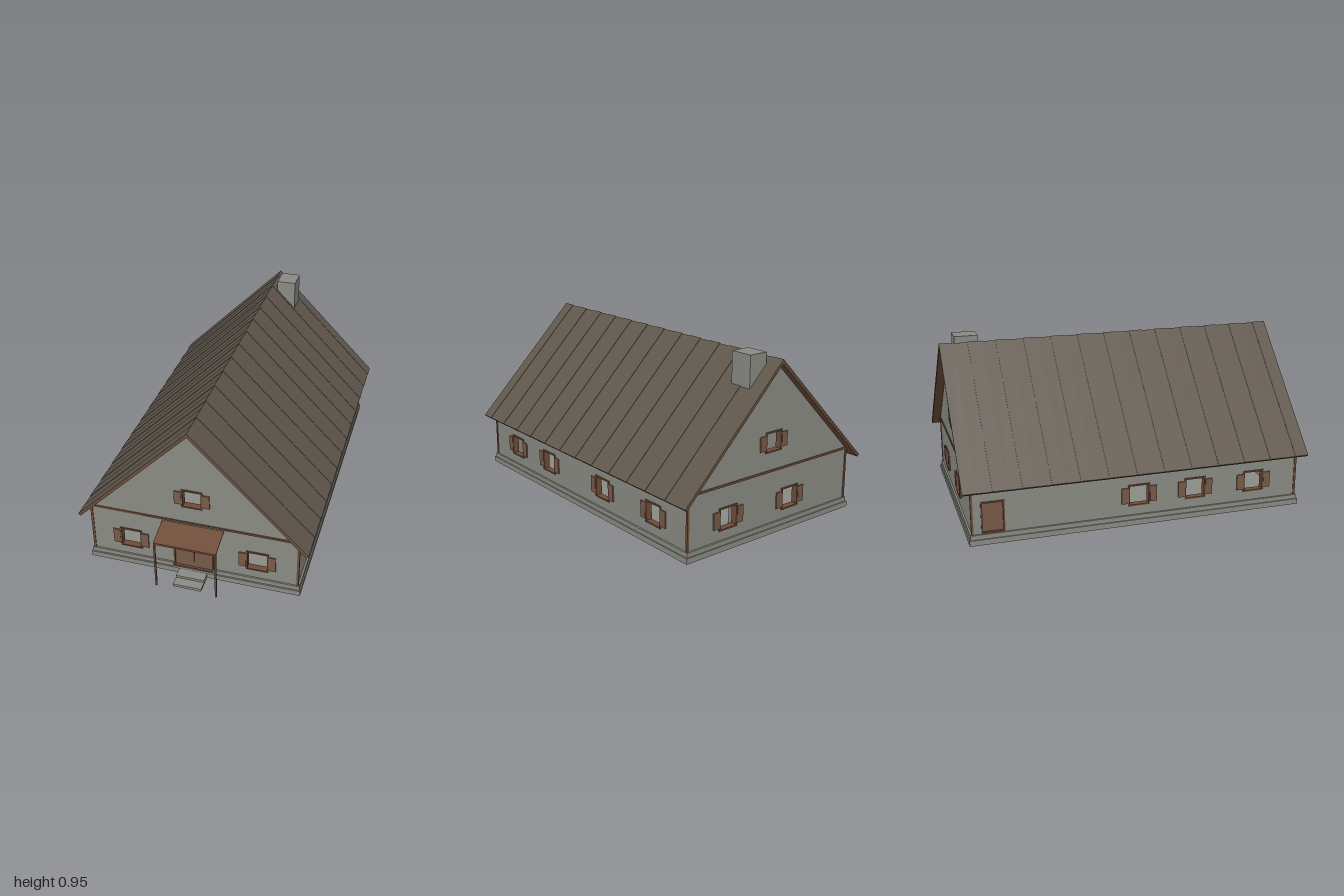
import * as THREE from 'three';

const mat = (name, color, side = THREE.FrontSide) => {
  const m = new THREE.MeshStandardMaterial({ color, side });
  m.name = name;
  return m;
};

export function createModel() {
  const house = new THREE.Group();
  house.name = 'house';
  const stone = mat('grey stone', 0x8a8b83);
  const wood = mat('brown wood', 0x785a47);
  const trim = mat('dark trim wood', 0x6f4d39);
  const roofing = mat('roof boards', 0x60574c);

  const add = (parent, name, geo, material) => {
    const m = new THREE.Mesh(geo, material);
    m.name = name;
    parent.add(m);
    return m;
  };
  // Box given by its minimum and maximum corners
  const box = (parent, name, material, x0, x1, y0, y1, z0, z1) => {
    const m = add(parent, name, new THREE.BoxGeometry(x1 - x0, y1 - y0, z1 - z0), material);
    m.position.set((x0 + x1) / 2, (y0 + y1) / 2, (z0 + z1) / 2);
    return m;
  };
  const polygon = (pts) => new THREE.Shape(pts.map(([x, y]) => new THREE.Vector2(x, y)));
  const extrude = (shape, z0, z1) =>
    new THREE.ExtrudeGeometry(shape, { depth: z1 - z0, bevelEnabled: false }).translate(0, 0, z0);

  const FRONT = 0.855, BACK = -0.952, HALF = 0.56, T = 0.03;
  const MID = (FRONT + BACK) / 2, LEN = FRONT - BACK;

  // Four thin bars around an opening
  const frame = (g, name, [x0, x1, y0, y1]) => {
    const w = 0.008, f = 0.005;
    box(g, name, trim, x0 - w / 2, x0 + w / 2, y0, y1, -T, f);
    box(g, name, trim, x1 - w / 2, x1 + w / 2, y0, y1, -T, f);
    box(g, name, trim, x0 - w / 2, x1 + w / 2, y1 - w / 2, y1 + w / 2, -T, f + 0.001);
    box(g, name, trim, x0 - w / 2, x1 + w / 2, y0 - w / 2, y0 + w / 2, -T, f + 0.001);
  };

  // Wall facing local +z, with windows (rectangles), shutters and doors
  const wall = (name, outline, windows, doors) => {
    const g = new THREE.Group();
    g.name = name;
    house.add(g);
    const shape = polygon(outline);
    for (const [x0, x1, y0, y1] of [...windows, ...doors]) {
      shape.holes.push(polygon([[x0, y0], [x0, y1], [x1, y1], [x1, y0]]));
    }
    add(g, name + 'Panel', extrude(shape, -T, 0), stone);
    for (const r of windows) {
      frame(g, 'windowFrame', r);
      const [x0, x1, y0, y1] = r;
      box(g, 'shutter', wood, x0 - 0.042, x0 - 0.004, y0 + 0.012, y1 - 0.012, 0, 0.007);
      box(g, 'shutter', wood, x1 + 0.004, x1 + 0.042, y0 + 0.012, y1 - 0.012, 0, 0.007);
    }
    for (const r of doors) {
      frame(g, 'doorFrame', r);
      const [x0, x1, y0, y1] = r;
      const n = x1 - x0 > 0.15 ? 2 : 1, w = (x1 - x0) / n;
      for (let i = 0; i < n; i++) {
        box(g, 'doorLeaf', wood, x0 + i * w + 0.001, x0 + (i + 1) * w - 0.001, y0, y1, -0.015, -0.007);
      }
    }
    return g;
  };
  const ground = (x) => [x - 0.056, x + 0.056, 0.11, 0.222];
  const attic = [-0.052, 0.052, 0.444, 0.546];
  const gable = [[-HALF, 0.03], [HALF, 0.03], [HALF, 0.337], [0, 0.903], [-HALF, 0.337]];
  const sideHalf = LEN / 2 - T;
  const side = [[-sideHalf, 0.03], [sideHalf, 0.03], [sideHalf, 0.337], [-sideHalf, 0.337]];

  const frontWall = wall('frontWall', gable, [ground(-0.344), ground(0.344), attic],
    [[-0.106, 0.106, 0.034, 0.258]]);
  frontWall.position.z = FRONT;
  const backWall = wall('backWall', gable, [ground(-0.3), ground(0.13), attic], []);
  backWall.position.z = BACK;
  backWall.rotation.y = Math.PI;
  const rightWall = wall('sideWall', side,
    [0.6, 0.257, -0.263, -0.694].map((z) => ground(MID - z)), []);
  rightWall.position.set(HALF, 0, MID);
  rightWall.rotation.y = Math.PI / 2;
  const leftWall = wall('doorSideWall', side,
    [0.6, 0.257, -0.06].map((z) => ground(z - MID)),
    [[-0.9 - MID, -0.785 - MID, 0.06, 0.225]]);
  leftWall.position.set(-HALF, 0, MID);
  leftWall.rotation.y = -Math.PI / 2;

  // Stepped plinth, its upper course open at the front door
  box(house, 'plinthBase', stone, -0.576, 0.576, 0, 0.03, -0.968, 0.872);
  for (const s of [-1, 1]) {
    const a = s * 0.555, b = s * 0.57;
    box(house, 'plinthSide', stone, Math.min(a, b), Math.max(a, b), 0.03, 0.055, -0.962, 0.864);
    const c = s * 0.111, d = s * 0.555;
    box(house, 'plinthFront', stone, Math.min(c, d), Math.max(c, d), 0.03, 0.055, 0.85, 0.864);
  }
  box(house, 'plinthBack', stone, -0.555, 0.555, 0.03, 0.055, -0.962, -0.947);

  // Corner posts and gable bands
  for (const z of [FRONT, BACK]) {
    for (const s of [-1, 1]) {
      const x = s * (HALF - 0.002);
      const zc = z - Math.sign(z) * 0.002;
      box(house, 'cornerPost', trim, x - 0.006, x + 0.006, 0.055, 0.337, zc - 0.006, zc + 0.006);
    }
    box(house, 'gableBand', trim, -0.565, 0.565, 0.334, 0.345, z - 0.005, z + 0.005);
  }

  // Roof: a wooden chevron under a row of boards
  const chevron = (top, bottom) => {
    const k = 1.011, e = 0.615;
    const eave = (y) => {
      const x = e - (0.922 - y) * 0.5;
      return [x, y - k * x];
    };
    const [tx, ty] = eave(top), [bx, by] = eave(bottom);
    return polygon([[0, top], [-tx, ty], [-bx, by], [0, bottom], [bx, by], [tx, ty]]);
  };
  add(house, 'roofDeck', extrude(chevron(0.918, 0.902), -0.999, 0.9), trim);
  const boards = 25, step = 1.9 / boards;
  for (let i = 0; i < boards; i++) {
    const z = -1 + i * step;
    add(house, 'roofBoard', extrude(chevron(i % 2 ? 0.922 : 0.925, 0.916), z, z + step), roofing);
  }

  box(house, 'chimney', stone, 0.03, 0.14, 0.03, 0.95, -0.914, -0.786);

  // Porch with sloping roof, posts and steps
  const porch = new THREE.Group();
  porch.name = 'porch';
  house.add(porch);
  const slab = add(porch, 'porchRoof', new THREE.BoxGeometry(0.332, 0.006, 0.148), trim);
  slab.position.set(0, 0.305, 0.926);
  slab.rotation.x = Math.atan2(0.034, 0.144);
  box(porch, 'porchBeam', trim, -0.165, 0.165, 0.279, 0.288, 0.989, 0.998);
  for (const s of [-1, 1]) {
    const x = s * 0.162;
    box(porch, 'porchPost', trim, x - 0.0045, x + 0.0045, 0, 0.285, 0.989, 0.998);
  }
  box(house, 'lowerStep', stone, -0.077, 0.077, 0, 0.015, 0.86, 0.98);
  box(house, 'upperStep', stone, -0.077, 0.077, 0.015, 0.029, 0.86, 0.928);

  return house;
}
